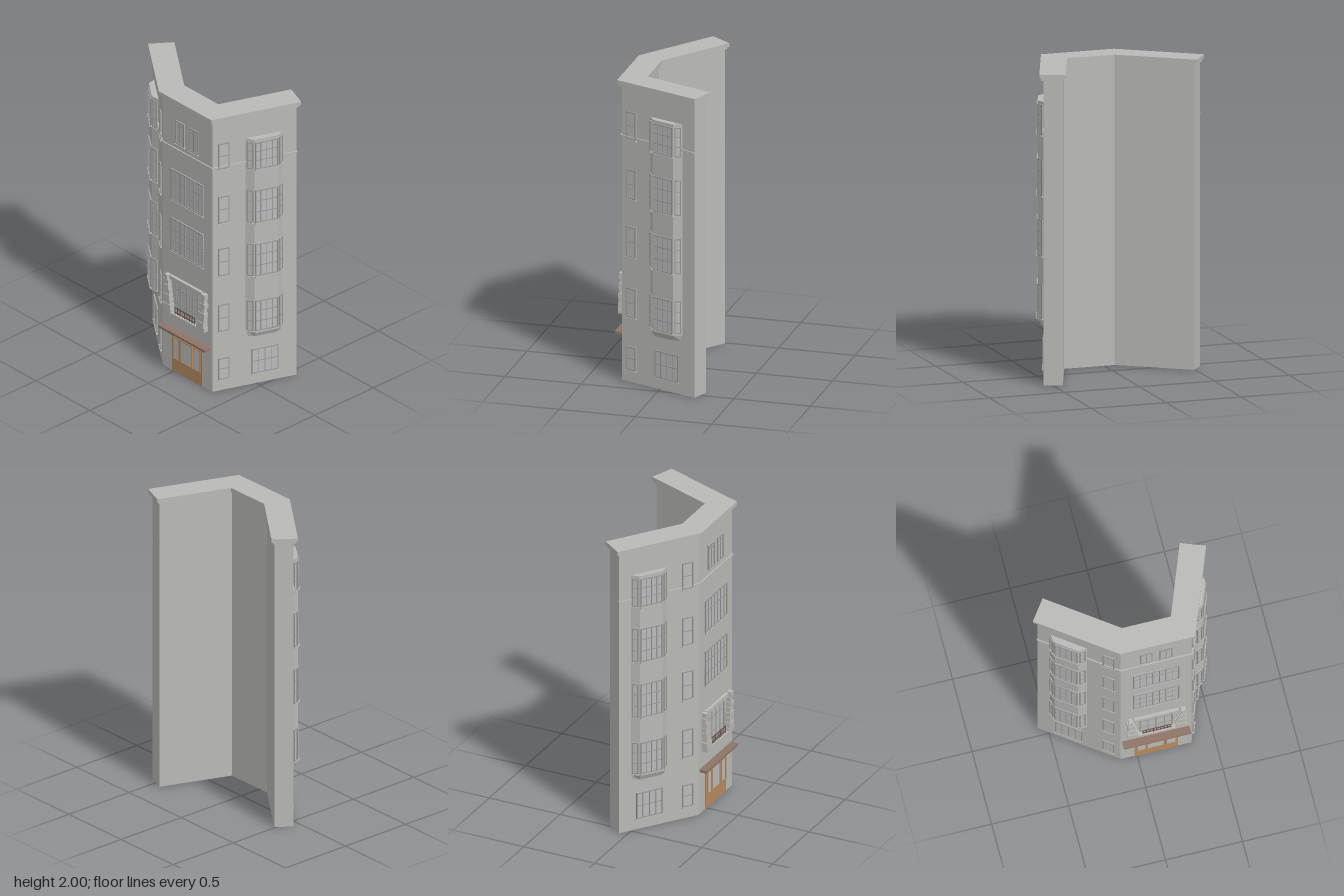
import * as THREE from 'three';

const mat = (name, color, side = THREE.FrontSide) => {
  const m = new THREE.MeshStandardMaterial({ color, side });
  m.name = name;
  return m;
};
const stone = mat('grey stone', 0xb9b9b5);
const frameMat = mat('window frame grey', 0x9a9a97);
const glass = mat('pale glass', 0xb9bbbb);
const wood = mat('shop wood', 0xb58a62);
const canopyMat = mat('canopy brown', 0x8f7468);
const iron = mat('railing iron', 0x6e5550);

// Plan of the street front, left wing to right wing, as [x, z]
const PLAN = [[-0.563, -0.053], [-0.108, 0.277], [0.352, 0.277], [0.553, -0.257]];
const THICK = 0.122;

function add(parent, name, geometry, material) {
  const mesh = new THREE.Mesh(geometry, material);
  mesh.name = name;
  parent.add(mesh);
  return mesh;
}

// Box given by its limits
function box(parent, name, material, x0, x1, y0, y1, z0, z1) {
  const g = new THREE.BoxGeometry(x1 - x0, y1 - y0, z1 - z0);
  g.translate((x0 + x1) / 2, (y0 + y1) / 2, (z0 + z1) / 2);
  return add(parent, name, g, material);
}

// Upright prism from [x, z] plan points
function prism(points, y0, y1) {
  const shape = new THREE.Shape(points.map(([x, z]) => new THREE.Vector2(x, -z)));
  const g = new THREE.ExtrudeGeometry(shape, { depth: y1 - y0, bevelEnabled: false });
  return g.rotateX(-Math.PI / 2).translate(0, y0, 0);
}

// Plan line moved outward by d with mitred corners, lengthened by e at both ends
function offsetPlan(d, e) {
  const dirs = PLAN.slice(1).map((p, i) =>
    new THREE.Vector2(p[0] - PLAN[i][0], p[1] - PLAN[i][1]).normalize());
  return PLAN.map((p, i) => {
    const a = dirs[Math.max(i - 1, 0)], b = dirs[Math.min(i, 2)];
    const na = new THREE.Vector2(-a.y, a.x), nb = new THREE.Vector2(-b.y, b.x);
    const n = na.clone().add(nb).multiplyScalar(d / (1 + na.dot(nb)));
    const end = i === 0 ? -e : i === 3 ? e : 0;
    return [p[0] + n.x + b.x * end, p[1] + n.y + b.y * end];
  });
}
const band = (out, back, end, y0, y1) =>
  prism([...offsetPlan(out, end), ...offsetPlan(-back, end).reverse()], y0, y1);

// Group lying on a wall from p to q: x along the wall, z outward
function face(parent, name, p, q) {
  const g = new THREE.Group();
  g.name = name;
  g.position.set(p[0], 0, p[1]);
  g.rotation.y = Math.atan2(p[1] - q[1], q[0] - p[0]);
  parent.add(g);
  return g;
}

// Window with glass, frame, glazing bars at given row fractions, and a sill
function windowUnit(parent, name, x0, x1, y0, y1, cols, rows, sill = true) {
  const g = new THREE.Group();
  g.name = name;
  parent.add(g);
  const w = 0.007, b = 0.0025, d = 0.009;
  box(g, 'glass', glass, x0, x1, y0, y1, -0.002, 0.003);
  box(g, 'frameSide', frameMat, x0, x0 + w, y0, y1, 0, d);
  box(g, 'frameSide', frameMat, x1 - w, x1, y0, y1, 0, d);
  box(g, 'frameTop', frameMat, x0, x1, y1 - w, y1, 0, d);
  box(g, 'frameBottom', frameMat, x0, x1, y0, y0 + w, 0, d);
  for (let i = 1; i < cols; i++) {
    const x = x0 + (x1 - x0) * i / cols;
    box(g, 'uprightBar', frameMat, x - b, x + b, y0, y1, 0, 0.007);
  }
  for (const r of rows) {
    const y = y0 + (y1 - y0) * r;
    box(g, 'crossBar', frameMat, x0, x1, y - b, y + b, 0, 0.0065);
  }
  if (sill) box(g, 'sill', stone, x0 - 0.004, x1 + 0.004, y0 - 0.008, y0, 0, 0.013);
}

const BAY_FLOORS = [[0.405, 0.625], [0.805, 1.04], [1.195, 1.43], [1.585, 1.78]];
const SMALL_FLOORS = [[0.08, 0.235], [0.43, 0.625], [0.835, 1.035], [1.22, 1.415], [1.615, 1.8]];

// Bay with splayed sides, tapered foot and windows on three faces
function bay(wall, c) {
  const pts = [[c - 0.125, 0], [c - 0.08, 0.038], [c + 0.08, 0.038], [c + 0.125, 0]];
  const closed = [...pts, [c + 0.125, -0.01], [c - 0.125, -0.01]];
  add(wall, 'bayBody', prism(closed, 0.395, 1.8), stone);
  const foot = prism(closed, 0.355, 0.395);
  const p = foot.attributes.position;
  for (let i = 0; i < p.count; i++) {
    if (p.getY(i) < 0.37) p.setXYZ(i, c + (p.getX(i) - c) * 0.88, p.getY(i), Math.min(p.getZ(i), 0.02));
  }
  foot.computeVertexNormals();
  add(wall, 'bayFoot', foot, stone);
  for (let i = 0; i < 3; i++) {
    const w = Math.hypot(pts[i + 1][0] - pts[i][0], pts[i + 1][1] - pts[i][1]);
    const side = face(wall, ['bayLeftSide', 'bayFront', 'bayRightSide'][i], pts[i], pts[i + 1]);
    const m = i === 1 ? 0.003 : 0.009;
    for (const [y0, y1] of BAY_FLOORS) {
      windowUnit(side, 'bayWindow', m, w - m, y0, y1, i === 1 ? 4 : 1, [0.33, 0.67]);
    }
  }
}

// Wing front: bay, ground floor window and a column of small windows
function wing(root, name, p, q, bayAt, smallAt) {
  const wall = face(root, name, p, q);
  bay(wall, bayAt);
  windowUnit(wall, 'groundWindow', bayAt - 0.088, bayAt + 0.095, 0.075, 0.255, 4, [0.5]);
  for (const [y0, y1] of SMALL_FLOORS) {
    windowUnit(wall, 'smallWindow', smallAt - 0.038, smallAt + 0.038, y0, y1, 1, [0.5]);
  }
}

// Balcony window between rough stepped piers
function balcony(wall) {
  const cx = 0.122, n = 8, y0 = 0.425, h = 0.27 / n;
  windowUnit(wall, 'balconyWindow', cx - 0.108, cx + 0.108, 0.44, 0.668, 4, [0.3, 0.75], false);
  for (const s of [-1, 1]) {
    for (let i = 0; i < n; i++) {
      const outer = 0.187 + 0.005 * Math.sin(i * 2.6 + s);
      const inner = 0.118 + 0.038 * i / (n - 1);
      const a = cx + s * outer, b = cx + s * inner;
      box(wall, 'pierStone', stone, Math.min(a, b), Math.max(a, b), y0 + i * h, y0 + (i + 1) * h,
        -0.005, 0.037 - 0.011 * i / n + (i % 2) * 0.003);
    }
  }
  box(wall, 'lintel', stone, cx - 0.145, cx + 0.145, 0.668, 0.695, -0.005, 0.02);
  box(wall, 'balconyFloor', stone, cx - 0.13, cx + 0.13, 0.425, 0.44, -0.005, 0.035);
  for (const y of [0.452, 0.487]) box(wall, 'rail', iron, cx - 0.092, cx + 0.092, y - 0.003, y + 0.003, 0.022, 0.028);
  for (let i = 0; i <= 8; i++) {
    const x = cx - 0.09 + 0.18 * i / 8;
    box(wall, 'railPost', iron, x - 0.002, x + 0.002, 0.44, 0.487, 0.023, 0.027);
  }
}

// Timber shop front under a canopy
function shop(wall) {
  box(wall, 'shopPanel', wood, -0.018, 0.262, 0, 0.292, -0.005, 0.005);
  for (const [x0, x1] of [[0.0, 0.055], [0.063, 0.172], [0.187, 0.25]]) {
    box(wall, 'shopGlass', glass, x0, x1, 0.098, 0.253, 0, 0.0065);
    for (const x of [x0, x1]) box(wall, 'shopPost', wood, x - 0.004, x + 0.004, 0.094, 0.257, 0, 0.011);
    for (const y of [0.098, 0.253]) box(wall, 'shopRail', wood, x0, x1, y - 0.004, y + 0.004, 0, 0.011);
  }
  box(wall, 'canopy', canopyMat, -0.09, 0.33, 0.292, 0.302, -0.005, 0.045);
  box(wall, 'canopyTop', canopyMat, -0.098, 0.338, 0.302, 0.314, -0.005, 0.052);
}

export function createModel() {
  const root = new THREE.Group();
  root.name = 'cornerBuilding';

  // Body, string course and stepped cornice
  add(root, 'walls', band(0, THICK, 0, 0, 1.97), stone);
  add(root, 'stringCourse', band(0.008, 0.01, 0.003, 1.624, 1.634), stone);
  add(root, 'lowerCornice', band(0.015, THICK + 0.01, 0.011, 1.96, 1.976), stone);
  add(root, 'roofCornice', band(0.026, THICK + 0.019, 0.021, 1.976, 2), stone);

  wing(root, 'rightWing', PLAN[0], PLAN[1], 0.21, 0.483);
  wing(root, 'leftWing', PLAN[2], PLAN[3], 0.351, 0.076);

  // Centre front
  const wall = face(root, 'centreFront', [0, 0.277], [1, 0.277]);
  windowUnit(wall, 'topWindow', 0.018, 0.098, 1.672, 1.84, 2, [0.83]);
  windowUnit(wall, 'topWindow', 0.144, 0.225, 1.672, 1.84, 2, [0.83]);
  windowUnit(wall, 'wideWindow', -0.026, 0.272, 1.245, 1.47, 7, [0.66]);
  windowUnit(wall, 'wideWindow', -0.026, 0.272, 0.872, 1.113, 7, [0.34, 0.68]);
  balcony(wall);
  shop(wall);
  return root;
}
